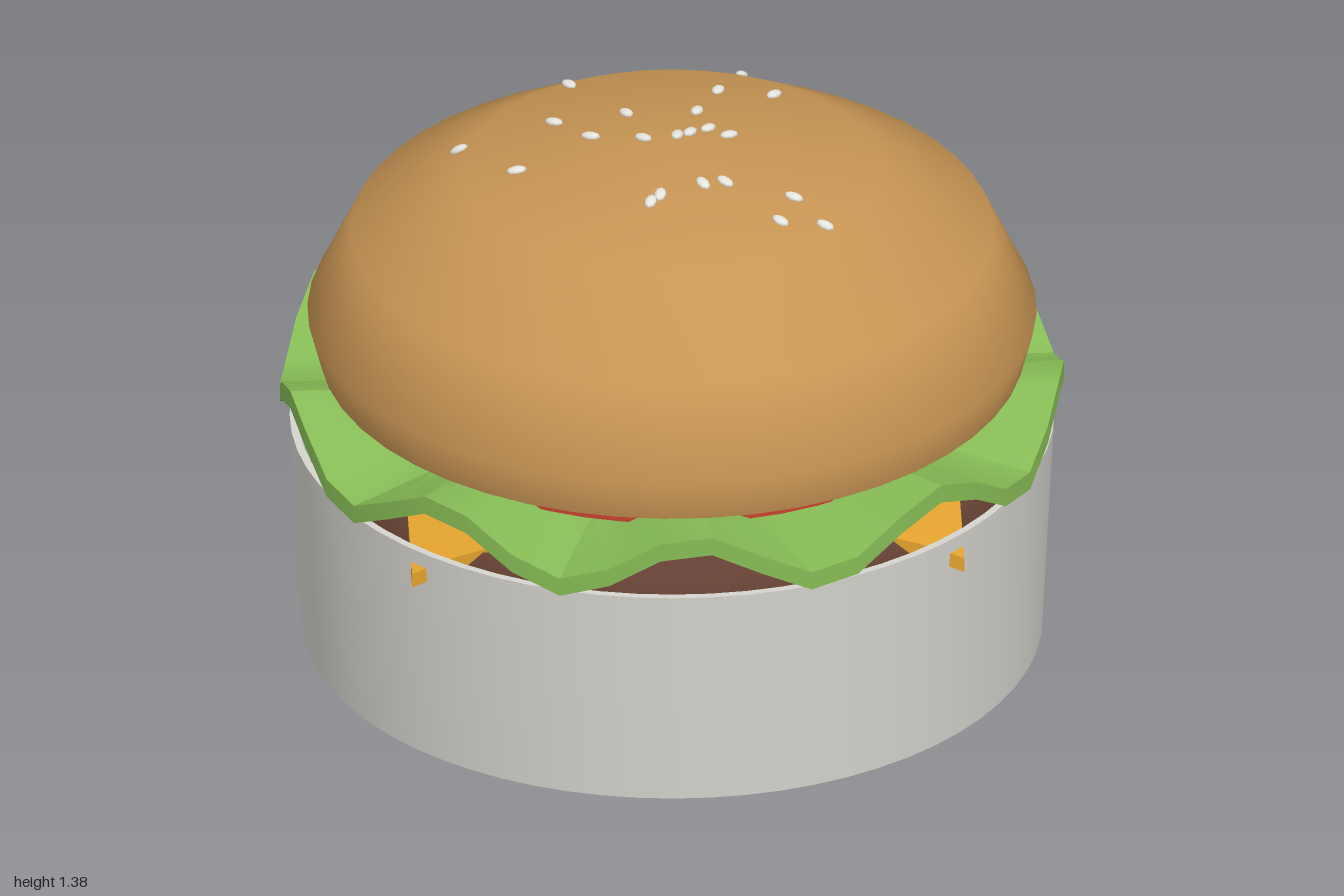
import * as THREE from 'three';
import { toCreasedNormals } from 'three/addons/utils/BufferGeometryUtils.js';

const material = (name, color) => {
  const m = new THREE.MeshStandardMaterial({ color });
  m.name = name;
  return m;
};

// Smooth turned solid; profile runs from the bottom outwards and up
const turned = (points, crease = 1, segments = 48) => toCreasedNormals(
  new THREE.LatheGeometry(points.map(([x, y]) => new THREE.Vector2(x, y)), segments), crease);

// Shift each vertex in y by a rule
function displace(geometry, rule) {
  const p = geometry.attributes.position;
  for (let i = 0; i < p.count; i++) {
    p.setY(i, p.getY(i) + rule(p.getX(i), p.getZ(i)));
  }
  geometry.computeVertexNormals();
  return geometry;
}

export function createModel() {
  const group = new THREE.Group();
  const bun = material('toasted bun', 0xc89554);
  const wrap = material('grey wrap', 0xd6d4ce);
  const green = material('lettuce green', 0x86bb55);
  const red = material('tomato red', 0xc8432f);
  const yellow = material('cheese yellow', 0xe0a02e);
  const brown = material('patty brown', 0x633f32);
  const white = material('seed white', 0xe8e6e0);

  const add = (name, geometry, mat, parent = group) => {
    const mesh = new THREE.Mesh(geometry, mat);
    mesh.name = name;
    parent.add(mesh);
    return mesh;
  };

  // Open paper ring around the lower half
  add('wrapperRing', turned([
    [0.925, 0], [0.945, 0], [0.975, 0.6], [0.955, 0.6], [0.925, 0],
  ], 0.6, 64), wrap);

  // Bottom bun and patty inside the ring
  add('bottomBun', turned([[0, 0.07], [0.88, 0.07], [0.91, 0.16], [0.91, 0.34], [0, 0.34]]), bun);
  add('patty', turned([
    [0, 0.34], [0.88, 0.34], [0.92, 0.4], [0.92, 0.54], [0.88, 0.6], [0, 0.605],
  ]), brown);

  // Square cheese slice whose corners droop through the ring
  const slice = displace(new THREE.BoxGeometry(1.41, 0.04, 1.41, 24, 1, 24), (x, z) => {
    const t = Math.max(0, Math.hypot(x, z) - 0.72) / 0.26;
    return 0.62 - 0.085 * t * t;
  });
  add('cheese', toCreasedNormals(slice, 0.6), yellow).rotation.y = THREE.MathUtils.degToRad(20);

  // Lettuce leaf with nine ripples growing towards the rim
  const leaf = new THREE.LatheGeometry([
    [0, 0.67], [0.4, 0.67], [0.7, 0.67], [1, 0.67],
    [1, 0.72], [0.7, 0.72], [0.4, 0.72], [0, 0.72],
  ].map(([x, y]) => new THREE.Vector2(x, y)), 48);
  displace(leaf, (x, z) => {
    const r = Math.hypot(x, z);
    return -0.072 * Math.pow(r, 1.6) * Math.cos(9 * Math.atan2(x, z));
  });
  add('lettuce', toCreasedNormals(leaf, 0.5), green);

  // Tomato slice
  add('tomato', turned([[0, 0.71], [0.78, 0.71], [0.78, 0.798], [0, 0.798]]), red);

  // Top bun
  const dome = [[0.93, 0.905], [0.82, 1.135], [0.535, 1.305], [0, 1.375]];
  add('topBun', turned([[0, 0.79], [0.9, 0.79], ...dome]), bun);

  // Sesame seeds lying on the dome, pointing away from the centre
  const seeds = new THREE.Group();
  seeds.name = 'sesameSeeds';
  group.add(seeds);
  const spots = [
    [0, -0.62], [0, -0.41], [0.14, -0.44], [-0.38, -0.355], [-0.01, -0.255], [-0.18, -0.195],
    [0.05, -0.155], [0.11, -0.14], [0.015, -0.11], [-0.01, -0.08], [-0.35, -0.12],
    [-0.23, -0.045], [-0.09, -0.045], [-0.56, 0.025], [-0.37, 0.145], [0.35, 0.085],
    [0.46, 0.175], [0.35, 0.205], [0.17, 0.095], [0.12, 0.125], [0.03, 0.205], [0.015, 0.24],
  ];
  const seedShape = new THREE.SphereGeometry(1, 8, 6).scale(0.027, 0.01, 0.016);
  for (const [x, z] of spots) {
    const r = Math.hypot(x, z);
    const [outer, inner] = r > 0.535 ? [dome[1], dome[2]] : [dome[2], dome[3]];
    const slope = (outer[1] - inner[1]) / (outer[0] - inner[0]);
    const seed = add('seed', seedShape, white, seeds);
    seed.position.set(x, inner[1] + slope * (r - inner[0]) + 0.003, z);
    seed.rotation.set(0, Math.atan2(-z, x), Math.atan(slope), 'YXZ');
  }
  return group;
}
